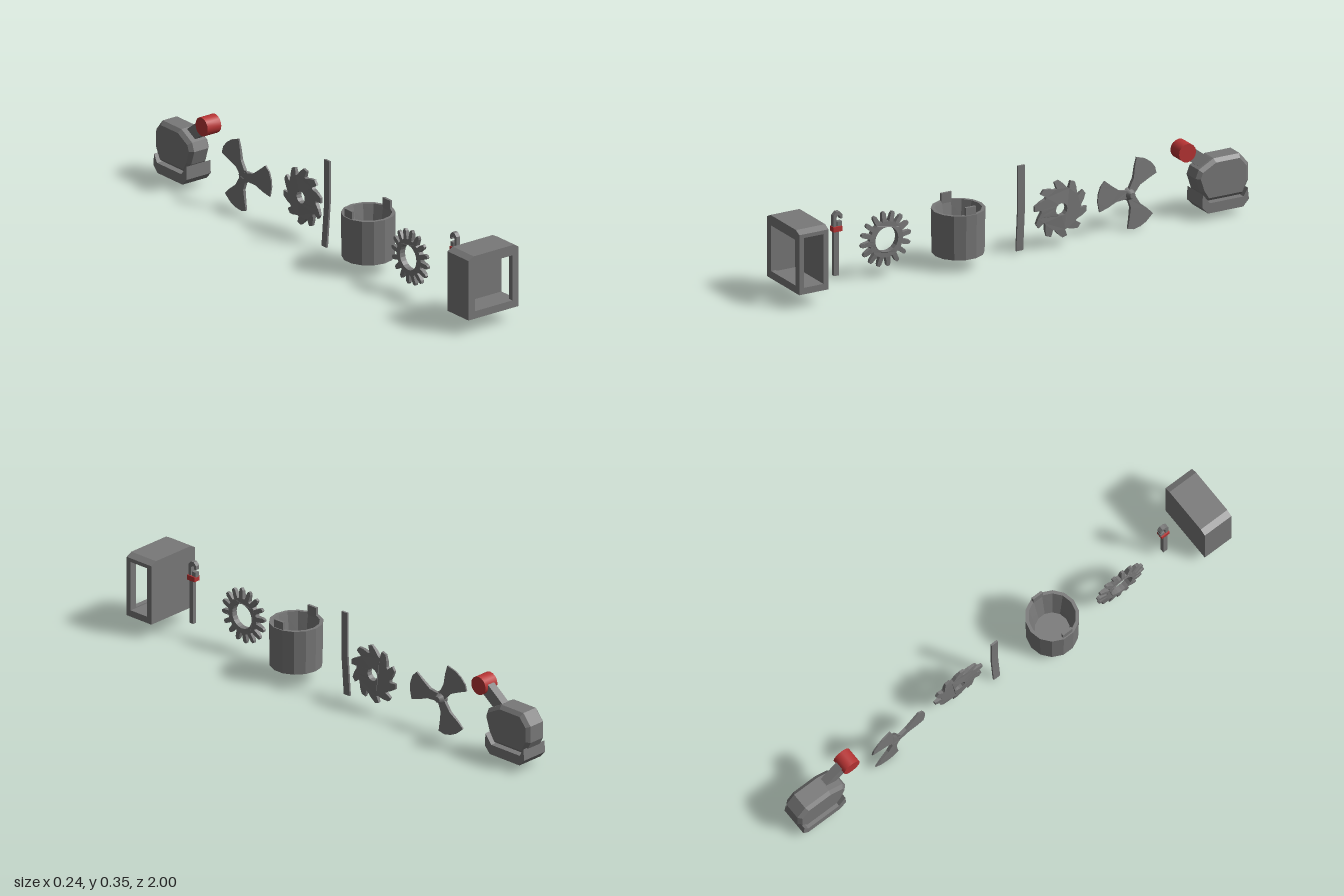
import * as THREE from 'three';
import { toCreasedNormals, mergeGeometries } from 'three/addons/utils/BufferGeometryUtils.js';

const grey = new THREE.MeshStandardMaterial({ color: 0x787878 });
grey.name = 'steel grey';
const red = new THREE.MeshStandardMaterial({ color: 0xb83434 });
red.name = 'paint red';

const makeShape = (pts) => new THREE.Shape(pts.map(([x, y]) => new THREE.Vector2(x, y)));
const polar = (r, a) => [r * Math.cos(a), r * Math.sin(a)];

function circleHole(r, n = 20) {
  const pts = [];
  for (let i = 0; i < n; i++) pts.push(new THREE.Vector2(...polar(r, (-i / n) * Math.PI * 2)));
  return new THREE.Path(pts);
}

// Extrude a side profile (u = -z, v = y) across x, centred on x = 0
function sideExtrude(shape, width, bevel = 0) {
  const g = new THREE.ExtrudeGeometry(shape, {
    depth: width - 2 * bevel, bevelEnabled: bevel > 0, bevelSegments: 1,
    bevelSize: bevel, bevelThickness: bevel, bevelOffset: -bevel, curveSegments: 8,
  });
  g.translate(0, 0, -(width - 2 * bevel) / 2);
  return g.rotateY(Math.PI / 2);
}

// Thin a plate towards its rim
function thinRim(g, radius, amount) {
  const p = g.attributes.position;
  for (let i = 0; i < p.count; i++) {
    const r = Math.hypot(p.getY(i), p.getZ(i)) / radius;
    p.setX(i, p.getX(i) * (1 - amount * r * r));
  }
  g.computeVertexNormals();
  return g;
}

export function createModel() {
  const model = new THREE.Group();
  const add = (name, geo, mat = grey, x = 0, y = 0, z = 0, parent = model) => {
    const m = new THREE.Mesh(geo, mat);
    m.name = name;
    m.position.set(x, y, z);
    parent.add(m);
    return m;
  };
  const group = (name) => {
    const g = new THREE.Group();
    g.name = name;
    model.add(g);
    return g;
  };
  const box = (w, h, d) => new THREE.BoxGeometry(w, h, d);

  // Hollow casing: open front and open left side
  const casing = group('casing');
  const outline = [[-0.12, 0.06], [0.12, 0.06], [0.12, 0.3], [0.095, 0.313], [-0.095, 0.313], [-0.12, 0.3]];
  const slab = (shape, depth) => new THREE.ExtrudeGeometry(shape, { depth, bevelEnabled: false });
  const frame = makeShape(outline);
  frame.holes.push(new THREE.Path([[-0.09, 0.09], [-0.09, 0.272], [0.09, 0.272], [0.09, 0.09]]
    .map(([x, y]) => new THREE.Vector2(x, y))));
  add('casingFront', slab(frame, 0.02), grey, 0, 0, 0.98, casing);
  const walls = makeShape([[-0.12, 0.06], [0.12, 0.06], [0.12, 0.086], [-0.09, 0.086], [-0.09, 0.285],
    [0.12, 0.285], [0.12, 0.3], [0.095, 0.313], [-0.095, 0.313], [-0.12, 0.3]]);
  add('casingWalls', slab(walls, 0.085), grey, 0, 0, 0.895, casing);
  add('casingBack', slab(makeShape(outline), 0.022), grey, 0, 0, 0.873, casing);

  // Pipe wrench
  const wrench = group('wrench');
  add('wrenchHandle', box(0.016, 0.19, 0.02), grey, 0, 0.155, 0.773, wrench);
  add('wrenchCollar', box(0.028, 0.02, 0.038), red, 0, 0.247, 0.77, wrench);
  const hook = makeShape([[-0.013, 0], [0, 0], [0, 0.04], [0.008, 0.05], [0.016, 0.042], [0.016, 0.034],
    [0.025, 0.034], [0.025, 0.05], [0.014, 0.063], [0, 0.063], [-0.013, 0.05]]);
  add('wrenchHook', sideExtrude(hook, 0.018), grey, 0, 0.252, 0.773, wrench);
  add('wrenchJaw', box(0.018, 0.02, 0.02), grey, 0, 0.265, 0.759, wrench);

  // Spiked ring gear with rounded teeth
  const spikes = [];
  const spikeCount = 16;
  for (let i = 0; i < spikeCount; i++) {
    const a = (i / spikeCount) * Math.PI * 2 + 0.1;
    for (const [r, da] of [[0.072, -0.13], [0.102, -0.085], [0.11, -0.04], [0.11, 0.04], [0.102, 0.085], [0.072, 0.13]]) {
      spikes.push(polar(r, a + da));
    }
  }
  const gearShape = makeShape(spikes);
  gearShape.holes.push(circleHole(0.05));
  add('spikedGear', thinRim(sideExtrude(gearShape, 0.028), 0.11, 0.6), grey, -0.032, 0.152, 0.538);

  // Open bucket with two handle lugs
  const bucket = group('bucket');
  const profile = [[0, 0.055], [0.1, 0.055], [0.103, 0.232], [0.09, 0.232], [0.084, 0.2], [0.066, 0.09], [0, 0.09]]
    .map(([x, y]) => new THREE.Vector2(x, y));
  add('bucketBody', toCreasedNormals(new THREE.LatheGeometry(profile, 14), 0.3), grey, 0, 0, 0.24, bucket);
  for (const s of [-1, 1]) add('bucketLug', box(0.01, 0.06, 0.045), grey, s * 0.091, 0.233, 0.24, bucket);

  // Slim bent bar: sections stacked upwards with a sideways drift
  const bar = box(0.01, 0.345, 0.03, 1, 1, 1);
  const tallBar = new THREE.BoxGeometry(0.008, 0.345, 0.03, 1, 2, 1);
  bar.dispose();
  const bp = tallBar.attributes.position;
  for (let i = 0; i < bp.count; i++) bp.setX(i, bp.getX(i) + (bp.getY(i) < -0.1 ? -0.013 : 0));
  tallBar.computeVertexNormals();
  add('bentBar', tallBar, grey, 0.014, 0.1825, -0.025);

  // Saw disc with hooked teeth
  const saw = [];
  const toothCount = 10;
  for (let i = 0; i < toothCount; i++) {
    const a = (i / toothCount) * Math.PI * 2;
    saw.push(polar(0.085, a), polar(0.1, a + 0.2), polar(0.116, a + 0.38), polar(0.113, a + 0.56), polar(0.085, a + 0.52));
  }
  const sawShape = makeShape(saw);
  sawShape.holes.push(circleHole(0.025, 12));
  add('sawDisc', thinRim(sideExtrude(sawShape, 0.024), 0.116, 0.6), grey, 0.026, 0.155, -0.188);

  // Three-bladed propeller, slightly pitched
  const propeller = group('propeller');
  const blade = makeShape([[0.01, -0.016], [0.05, -0.02], [0.09, -0.045], [0.12, -0.066], [0.138, -0.045],
    [0.146, -0.015], [0.146, 0.015], [0.134, 0.055], [0.1, 0.042], [0.06, 0.022], [0.01, 0.016]]);
  const bladeGeos = [];
  for (const deg of [55, 175, 295]) {
    bladeGeos.push(sideExtrude(blade, 0.014).rotateX((deg * Math.PI) / 180));
  }
  add('propellerBlades', thinRim(mergeGeometries(bladeGeos), 0.15, 0.6), grey, 0, 0, 0, propeller);
  const hub = new THREE.CylinderGeometry(0.012, 0.028, 0.03, 10).rotateZ(-Math.PI / 2);
  add('propellerHub', toCreasedNormals(hub, 0.7), grey, 0.009, 0, 0, propeller);
  propeller.position.set(-0.002, 0.145, -0.505);
  propeller.rotation.y = 0.09;

  // Faceted motor housing on a wider cradle
  const motor = group('motor');
  const housing = makeShape([[0.815, 0.07], [0.973, 0.07], [1.0, 0.123], [1.0, 0.19], [0.963, 0.235],
    [0.85, 0.235], [0.785, 0.2], [0.772, 0.166], [0.79, 0.11]]);
  add('motorHousing', sideExtrude(housing, 0.095, 0.014), grey, 0, 0, 0, motor);
  const cradle = makeShape([[0.813, 0.028], [0.965, 0.028], [0.99, 0.055], [0.985, 0.1], [0.967, 0.068],
    [0.82, 0.068], [0.79, 0.107], [0.787, 0.055]]);
  add('motorCradle', sideExtrude(cradle, 0.115), grey, 0, 0, 0, motor);

  // Sloping arm and red roller
  const arm = add('motorArm', box(0.034, 0.05, 0.14), grey, 0.006, 0.234, -0.8, motor);
  arm.rotation.x = -0.65;
  const roller = new THREE.CylinderGeometry(0.037, 0.037, 0.065, 16).rotateZ(Math.PI / 2);
  add('roller', toCreasedNormals(roller, 0.7), red, 0.005, 0.278, -0.735, motor);

  return model;
}
